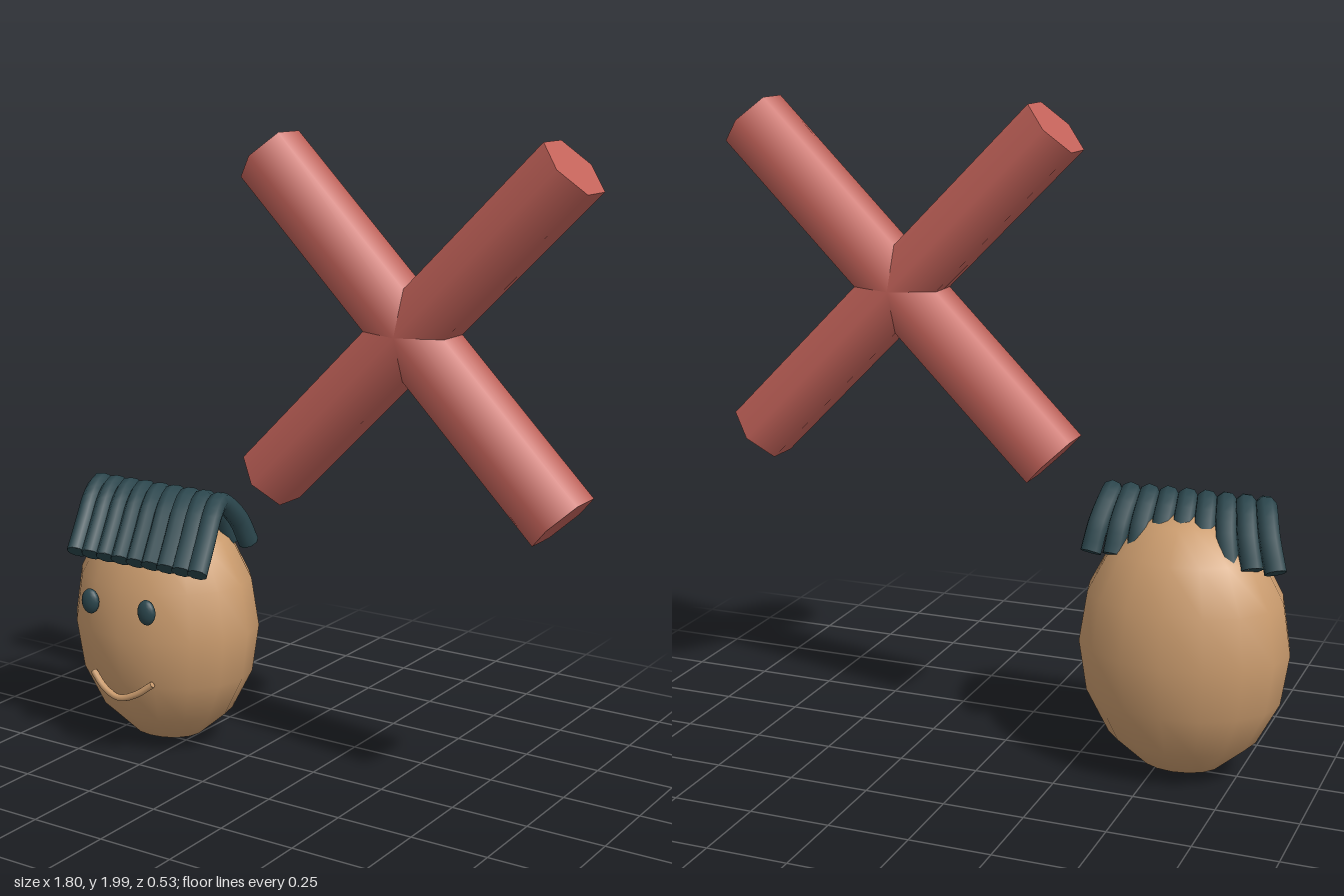
import * as THREE from 'three';

export function createModel() {
  const root = new THREE.Group();
  const material = (name, color, side = THREE.FrontSide) => {
    const m = new THREE.MeshStandardMaterial({ color, side });
    m.name = name;
    return m;
  };
  const skin = material('skin tan', 0xcb9c6e);
  const dark = material('dark teal', 0x2b464d, THREE.DoubleSide);
  const red = material('brick red', 0xc4635a);

  const add = (parent, name, geometry, mat, x = 0, y = 0, z = 0) => {
    const mesh = new THREE.Mesh(geometry, mat);
    mesh.name = name;
    mesh.position.set(x, y, z);
    parent.add(mesh);
    return mesh;
  };
  const ellipsoid = (rx, ry, rz, w, h) => new THREE.SphereGeometry(1, w, h).scale(rx, ry, rz);

  // Tube along a smooth path with a flat disc on each end
  const cappedTube = (parent, name, points, radius, sides, mat) => {
    const curve = new THREE.CatmullRomCurve3(points.map(p => new THREE.Vector3(...p)));
    add(parent, name, new THREE.TubeGeometry(curve, 16, radius, sides), mat);
    for (const t of [0, 1]) {
      const p = curve.getPointAt(t);
      const out = curve.getTangentAt(t).multiplyScalar(t ? 1 : -1);
      const cap = add(parent, name + 'End', new THREE.CircleGeometry(radius, sides), mat, p.x, p.y, p.z);
      cap.quaternion.setFromUnitVectors(new THREE.Vector3(0, 0, 1), out);
    }
  };

  // Large floating cross: two hexagonal bars
  const cross = new THREE.Group();
  cross.name = 'cross';
  root.add(cross);
  for (const s of [-1, 1]) {
    const bar = add(cross, 'crossBar', new THREE.CylinderGeometry(0.11, 0.11, 1.4, 6), red, 0.336, 1.44, -0.008);
    bar.rotation.z = s * Math.PI / 4;
  }

  // Head
  const head = new THREE.Group();
  head.name = 'head';
  root.add(head);
  add(head, 'face', ellipsoid(0.324, 0.41, 0.257, 16, 8), skin, -0.577, 0.418, -0.008);

  // Eyes
  for (const x of [-0.69, -0.465])
    add(head, 'eye', ellipsoid(0.032, 0.041, 0.021, 16, 10), dark, x, 0.52, 0.241);

  // Smiling mouth
  cappedTube(head, 'mouth', [
    [-0.692, 0.281, 0.231], [-0.639, 0.239, 0.243], [-0.577, 0.219, 0.249],
    [-0.515, 0.239, 0.243], [-0.455, 0.281, 0.231],
  ], 0.011, 8, skin);

  // Hair: slanted strands arching from the back over to the fringe
  const hair = new THREE.Group();
  hair.name = 'hair';
  head.add(hair);
  const strands = 9;
  for (let i = 0; i < strands; i++) {
    const t = i / (strands - 1);
    const back = THREE.MathUtils.lerp(-0.868, -0.308, t);
    const top = THREE.MathUtils.lerp(-0.805, -0.33, t);
    const front = THREE.MathUtils.lerp(-0.742, -0.268, t);
    cappedTube(hair, 'hairStrand', [
      [back, 0.695, -0.095], [(back + top) / 2, 0.782, -0.052], [top, 0.852, 0.03],
      [top * 0.7 + front * 0.3, 0.827, 0.095], [(top + front * 2) / 3, 0.76, 0.164],
      [front, 0.674, 0.239],
    ], 0.033, 8, dark);
  }
  return root;
}
